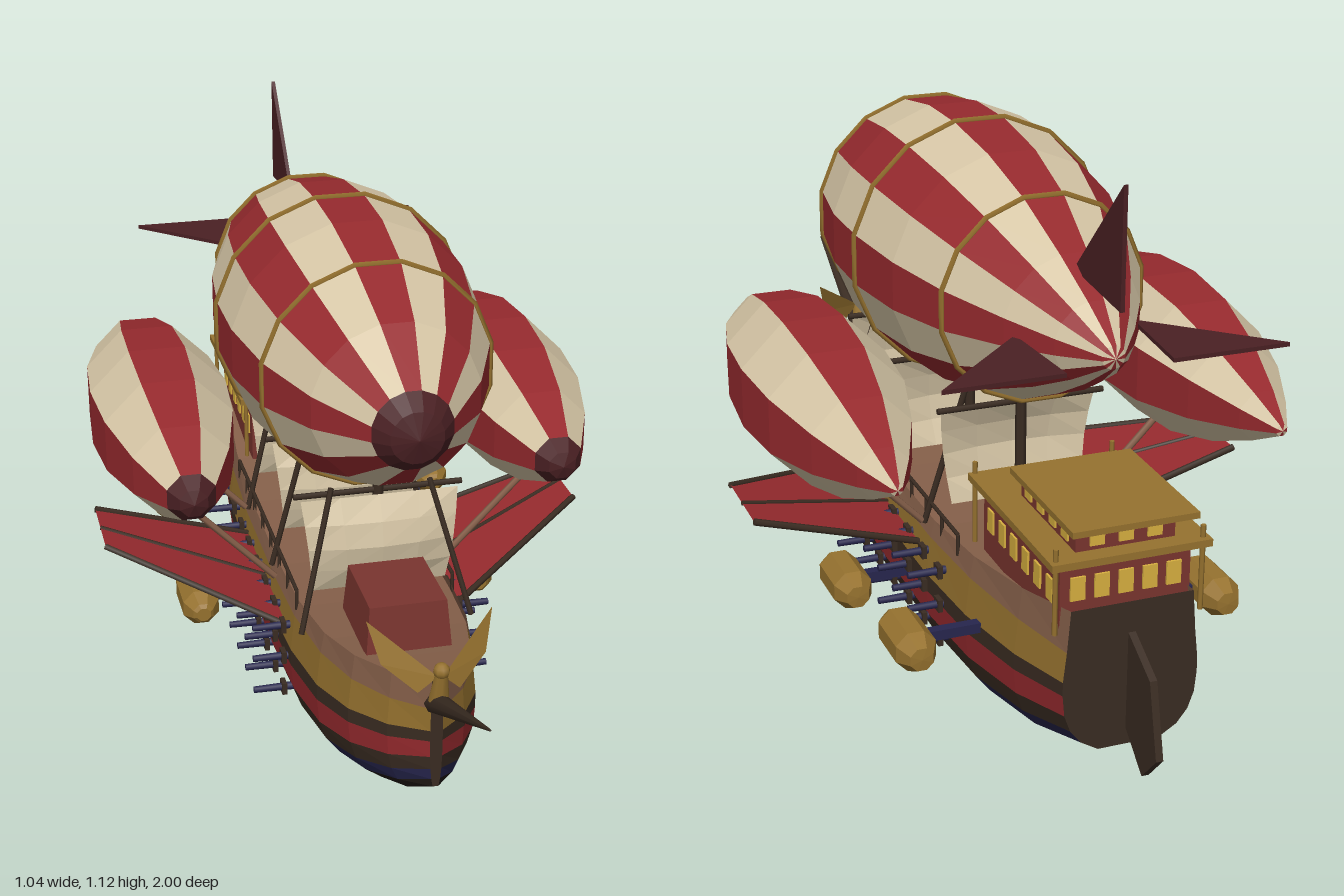
import * as THREE from 'three';

const mat = (name, color, side = THREE.FrontSide) => {
  const m = new THREE.MeshStandardMaterial({ color, side });
  m.name = name;
  return m;
};
const V = (x, y, z) => new THREE.Vector3(x, y, z);

export function createModel() {
  const D = THREE.DoubleSide;
  const cream = mat('cream cloth', 0xd6c6a6, D), red = mat('red', 0x962a2e, D);
  const maroon = mat('dark maroon', 0x4a2023), cabinRed = mat('cabin red', 0x7a352f);
  const gold = mat('gold', 0x96722f, D), brown = mat('deck brown', 0x86604a, D);
  const dark = mat('dark brown', 0x3a2c22, D), navy = mat('navy', 0x27264e);
  const black = mat('keel black', 0x211a15), yellow = mat('window yellow', 0xd8b040);

  const model = new THREE.Group();
  model.name = 'airship';
  const add = (name, geo, material, x = 0, y = 0, z = 0) => {
    const m = new THREE.Mesh(geo, material);
    m.name = name;
    m.position.set(x, y, z);
    model.add(m);
    return m;
  };
  const box = (name, material, w, h, d, x, y, z) => add(name, new THREE.BoxGeometry(w, h, d), material, x, y, z);
  const rod = (name, material, a, b, r, r2 = r, n = 6) => {
    const dir = b.clone().sub(a);
    const m = add(name, new THREE.CylinderGeometry(r2, r, dir.length(), n), material);
    m.position.copy(a).add(b).multiplyScalar(0.5);
    m.quaternion.setFromUnitVectors(V(0, 1, 0), dir.normalize());
    return m;
  };
  const flat = (geo) => {
    const g = geo.index ? geo.toNonIndexed() : geo;
    g.computeVertexNormals();
    return g;
  };
  // Flat-shaded surface from a list of four-cornered faces
  const quads = (list) => {
    const pts = list.flatMap(([a, b, c, d]) => [a, b, c, a, c, d]);
    return flat(new THREE.BufferGeometry().setFromPoints(pts));
  };

  // Striped gas bags, one gore per facet
  const balloon = (name, profile, n, x, y) => {
    const pts = profile.map(([z, r]) => new THREE.Vector2(r, z));
    const bag = pts.slice(0, -2), nose = pts.slice(-3);
    for (let k = 0; k < n; k++) {
      const g = new THREE.LatheGeometry(bag, 1, ((k - 0.5) * 2 * Math.PI) / n, (2 * Math.PI) / n);
      add(name + 'Gore', flat(g.rotateX(Math.PI / 2)), k % 2 ? cream : red, x, y);
    }
    const cap = new THREE.LatheGeometry(nose, n, -Math.PI / n);
    add(name + 'NoseCap', flat(cap.rotateX(Math.PI / 2)), maroon, x, y);
  };
  balloon('mainBalloon', [[-0.77, 0], [-0.76, 0.022], [-0.68, 0.078], [-0.58, 0.135], [-0.44, 0.2], [-0.28, 0.243],
    [-0.11, 0.262], [0.04, 0.26], [0.21, 0.231], [0.36, 0.168], [0.48, 0.08], [0.515, 0.052], [0.53, 0]], 16, 0, 0.805);
  for (const s of [-1, 1])
    balloon('sideBalloon', [[-0.7, 0], [-0.695, 0.012], [-0.62, 0.052], [-0.5, 0.103], [-0.35, 0.143], [-0.2, 0.155],
      [-0.05, 0.143], [0.1, 0.105], [0.22, 0.052], [0.25, 0.03], [0.26, 0]], 8, s * 0.373, 0.587);

  // Gold hoops round the main balloon
  for (const [z, r] of [[0.21, 0.232], [-0.11, 0.264], [-0.44, 0.202]])
    add('balloonHoop', new THREE.TorusGeometry(r, 0.006, 4, 16).rotateZ(Math.PI / 16), gold, 0, 0.805, z);

  // Three tail fins
  const finShape = new THREE.Shape([[0.79, 0.1], [0.79, 0.325], [0.59, 0.115]].map(([a, b]) => new THREE.Vector2(a, b)));
  for (const a of [-Math.PI / 2, 0, Math.PI / 2]) {
    const g = new THREE.ExtrudeGeometry(finShape, { depth: 0.008, bevelEnabled: false });
    g.translate(0, 0, -0.004).rotateY(Math.PI / 2).rotateZ(a);
    add('tailFin', g, maroon, 0, 0.797, 0);
  }

  // Hull: stations are [z, half beam, keel, gold line, top]
  const stations = [[0.675, 0.012, 0.16, 0.33, 0.39], [0.6, 0.075, 0.115, 0.318, 0.375], [0.5, 0.127, 0.075, 0.307, 0.358],
    [0.37, 0.16, 0.035, 0.295, 0.338], [0.2, 0.177, 0.007, 0.285, 0.32], [0, 0.182, 0, 0.28, 0.312], [-0.3, 0.182, 0, 0.28, 0.315],
    [-0.5, 0.174, 0.01, 0.286, 0.33], [-0.7, 0.155, 0.048, 0.297, 0.358], [-0.868, 0.13, 0.105, 0.31, 0.39]];
  const levels = [[1, 0.95], [0.72, 1], [0.59, 1], [0.39, 0.97], [0.23, 0.88], [0.1, 0.72], [0, 0.46], [0, 0]];
  const section = ([z, b, keel, line, top]) => [V(b * 0.9, top, z),
    ...levels.map(([f, w]) => V(b * w, keel + (line - keel) * f, z))];
  const rows = stations.map(section);
  const mir = (p) => V(-p.x, p.y, p.z);
  const bands = [['bulwark', brown], ['goldStrake', gold], ['upperDarkStrake', dark], ['redStrake', red],
    ['lowerDarkStrake', dark], ['navyStrake', navy], ['bilge', black], ['hullBottom', black]];
  bands.forEach(([name, m], j) => {
    const faces = [];
    for (let i = 0; i < rows.length - 1; i++) {
      const a = rows[i][j], b = rows[i + 1][j], c = rows[i][j + 1], d = rows[i + 1][j + 1];
      faces.push([a, c, d, b], [b, d, c, a].map(mir));
    }
    add(name, quads(faces), m);
  });
  const ends = (r) => r.slice(0, -2).map((a, j) => [a, r[j + 1], mir(r[j + 1]), mir(a)]);
  add('transom', quads(ends(rows.at(-1))), dark);
  add('stem', quads(ends(rows[0]).map((q) => q.reverse())), dark);
  add('deck', quads(rows.slice(1).map((r, i) => [rows[i][0], r[0], mir(r[0]), mir(rows[i][0])])), brown, 0, -0.015, 0);

  // Rudder
  const rudder = new THREE.Shape([[0.866, 0.33], [0.96, 0.28], [0.995, 0.14], [0.94, 0.08], [0.866, 0.14]]
    .map(([a, b]) => new THREE.Vector2(a, b)));
  add('rudder', new THREE.ExtrudeGeometry(rudder, { depth: 0.014, bevelEnabled: false }).rotateY(Math.PI / 2), dark, -0.007);

  // Stern cabin in two storeys with lit windows
  box('lowerCabin', cabinRed, 0.25, 0.15, 0.365, 0, 0.4, -0.652);
  box('cabinBalcony', gold, 0.305, 0.014, 0.41, 0, 0.475, -0.66);
  box('upperCabin', cabinRed, 0.19, 0.06, 0.25, 0, 0.505, -0.705);
  box('cabinRoof', gold, 0.24, 0.012, 0.29, 0, 0.538, -0.73);
  for (const s of [-1, 1]) {
    for (let i = 0; i < 6; i++) box('sideWindow', yellow, 0.006, 0.045, 0.028, s * 0.126, 0.402, -0.51 - i * 0.057);
    for (let i = 0; i < 4; i++) box('upperWindow', yellow, 0.006, 0.028, 0.028, s * 0.096, 0.505, -0.62 - i * 0.056);
    for (const z of [-0.46, -0.85]) rod('balconyPost', gold, V(s * 0.14, 0.34, z), V(s * 0.14, 0.505, z), 0.005);
  }
  for (let i = -2; i <= 2; i++) box('sternWindow', yellow, 0.028, 0.045, 0.006, i * 0.046, 0.415, -0.836);
  for (let i = -1; i <= 1; i++) box('upperSternWindow', yellow, 0.028, 0.028, 0.006, i * 0.055, 0.505, -0.831);

  // Foredeck house, narrower at the roof
  const house = new THREE.CylinderGeometry(0.9 * Math.SQRT1_2, Math.SQRT1_2, 1, 4).rotateY(Math.PI / 4).scale(0.17, 0.1, 0.2);
  add('foredeckHouse', flat(house), cabinRed, 0, 0.385, 0.375);

  // Masts, yards and billowing sails
  for (const z of [0.22, -0.06, -0.34]) {
    rod('mast', dark, V(0, 0.3, z), V(0, 0.58, z), 0.011);
    rod('yard', dark, V(-0.172, 0.563, z), V(0.172, 0.563, z), 0.006);
    const sail = new THREE.PlaneGeometry(0.32, 0.2, 4, 4), p = sail.attributes.position;
    for (let i = 0; i < p.count; i++) {
      const t = 0.5 - p.getY(i) / 0.2, u = p.getX(i) / 0.16;
      p.setX(i, p.getX(i) * (1 - 0.14 * t));
      p.setZ(i, 0.035 * Math.sin(Math.PI * t) * (1 - 0.5 * u * u));
    }
    add('sail', flat(sail), cream, 0, 0.458, z + 0.014);
  }

  // Figurehead and bowsprit
  rod('bowsprit', dark, V(0, 0.335, 0.66), V(0, 0.485, 1), 0.022, 0.002, 8);
  rod('figureheadBody', gold, V(0, 0.355, 0.685), V(0, 0.42, 0.7), 0.02, 0.012, 8);
  add('figureheadHead', new THREE.SphereGeometry(0.016, 8, 6), gold, 0, 0.425, 0.7);

  for (const s of [-1, 1]) {
    add('figureheadWing', quads([[V(s * 0.005, 0.41, 0.695), V(s * 0.12, 0.495, 0.612),
      V(s * 0.1, 0.42, 0.645), V(s * 0.04, 0.375, 0.685)]]), gold);

    // Sloping side wings with spars
    const w = [V(s * 0.18, 0.25, 0.17), V(s * 0.515, 0.348, -0.07), V(s * 0.515, 0.348, -0.25), V(s * 0.18, 0.25, -0.25)];
    add('sideWing', quads([w]), red);
    rod('wingLeadingSpar', dark, w[0], w[1], 0.007);
    rod('wingTrailingSpar', dark, w[3], w[2], 0.007);
    rod('wingMiddleSpar', dark, V(s * 0.18, 0.25, -0.05), V(s * 0.515, 0.348, -0.16), 0.005);

    // Three rows of guns
    for (const y of [0.25, 0.178, 0.104])
      for (let i = 0; i < 7; i++) {
        const z = 0.17 - i * 0.0925;
        box('gunPort', dark, 0.01, 0.026, 0.026, s * 0.187, y, z);
        rod('gunBarrel', navy, V(s * 0.15, y, z), V(s * 0.25, y, z), 0.009, 0.007, 8);
      }

    // Engine pods on outriggers
    for (const [y, z] of [[0.15, -0.17], [0.213, -0.555]]) {
      box('outrigger', navy, 0.15, 0.02, 0.02, s * 0.21, y, z);
      const pod = new THREE.LatheGeometry([[0, -0.087], [0.024, -0.085], [0.042, -0.05], [0.042, 0.05], [0.024, 0.08],
        [0.016, 0.087], [0, 0.087]].map(([r, h]) => new THREE.Vector2(r, h)), 8, Math.PI / 8);
      add('enginePod', flat(pod.rotateX(Math.PI / 2)), gold, s * 0.31, y, z);
    }

    // Struts up to the balloons
    for (const [z0, z1] of [[0.3, 0.24], [0, 0], [-0.27, -0.3]])
      rod('mainStrut', dark, V(s * 0.175, 0.3, z0), V(s * 0.1, 0.585, z1), 0.006);
    for (const z of [0.06, -0.27])
      rod('sideStrut', brown, V(s * 0.18, 0.305, z), V(s * 0.345, 0.475, z), 0.007);

    // Deck railing
    rod('handrail', dark, V(s * 0.163, 0.343, 0.2), V(s * 0.163, 0.343, -0.43), 0.004);
    for (let i = 0; i < 8; i++) rod('railPost', dark, V(s * 0.163, 0.3, 0.2 - i * 0.09), V(s * 0.163, 0.343, 0.2 - i * 0.09), 0.004);
  }
  return model;
}
